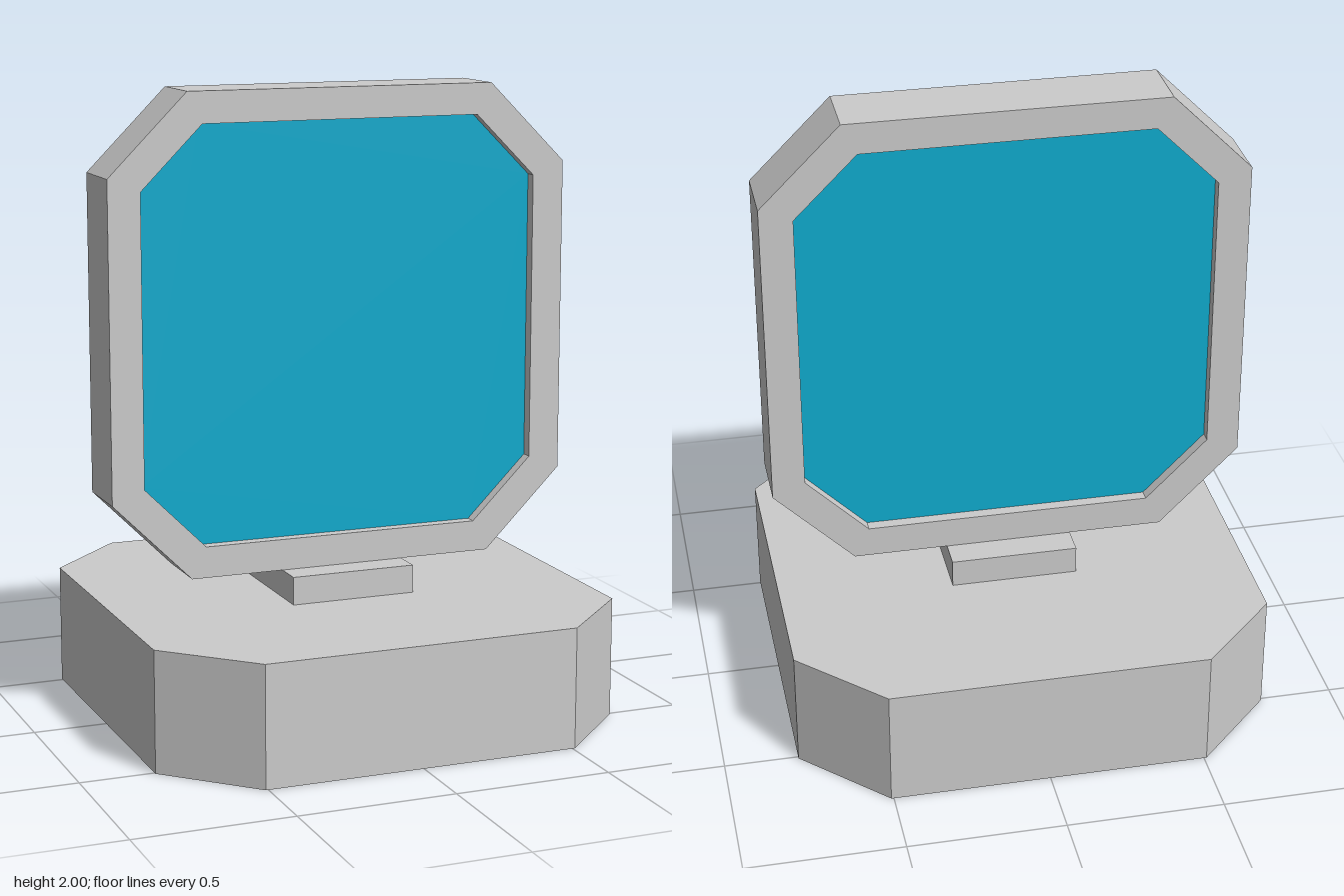
import * as THREE from 'three';

const grey = new THREE.MeshStandardMaterial({ color: 0xcccccc, flatShading: true });
const blue = new THREE.MeshStandardMaterial({ color: 0x0fabce, flatShading: true });

// Corner points of a rectangle with cut corners, centred on the origin
function octagon(halfW, halfH, cut) {
  const a = halfW - cut, b = halfH - cut;
  return [
    [a, -halfH], [halfW, -b], [halfW, b], [a, halfH],
    [-a, halfH], [-halfW, b], [-halfW, -b], [-a, -halfH],
  ].map(([x, y]) => new THREE.Vector2(x, y));
}

// Prism of the shape, centred on z = 0
function prism(shape, depth) {
  return new THREE.ExtrudeGeometry(shape, { depth, bevelEnabled: false }).translate(0, 0, -depth / 2);
}

export function createModel() {
  const model = new THREE.Group();
  const add = (name, geometry, material, parent = model) => {
    const mesh = new THREE.Mesh(geometry, material);
    mesh.name = name;
    parent.add(mesh);
    return mesh;
  };

  // Base: chamfered slab lying flat
  const base = prism(new THREE.Shape(octagon(0.765, 0.765, 0.257)), 0.385);
  add('base', base.rotateX(-Math.PI / 2), grey).position.y = 0.1925;

  // Neck: short block joining base and frame
  add('neck', new THREE.BoxGeometry(0.41, 0.09, 0.41), grey).position.y = 0.43;

  // Head: upright frame with a recessed screen on each side
  const head = new THREE.Group();
  head.name = 'head';
  head.position.y = 1.2375;
  model.add(head);

  const opening = octagon(0.66, 0.6625, 0.2);
  const outline = new THREE.Shape(octagon(0.765, 0.7625, 0.257));
  outline.holes.push(new THREE.Path(opening));
  add('frame', prism(outline, 0.216), grey, head);

  const screen = new THREE.ShapeGeometry(new THREE.Shape(opening));
  add('frontScreen', screen, blue, head).position.z = 0.07;
  const back = add('backScreen', screen, blue, head);
  back.position.z = -0.07;
  back.rotation.y = Math.PI;

  return model;
}
